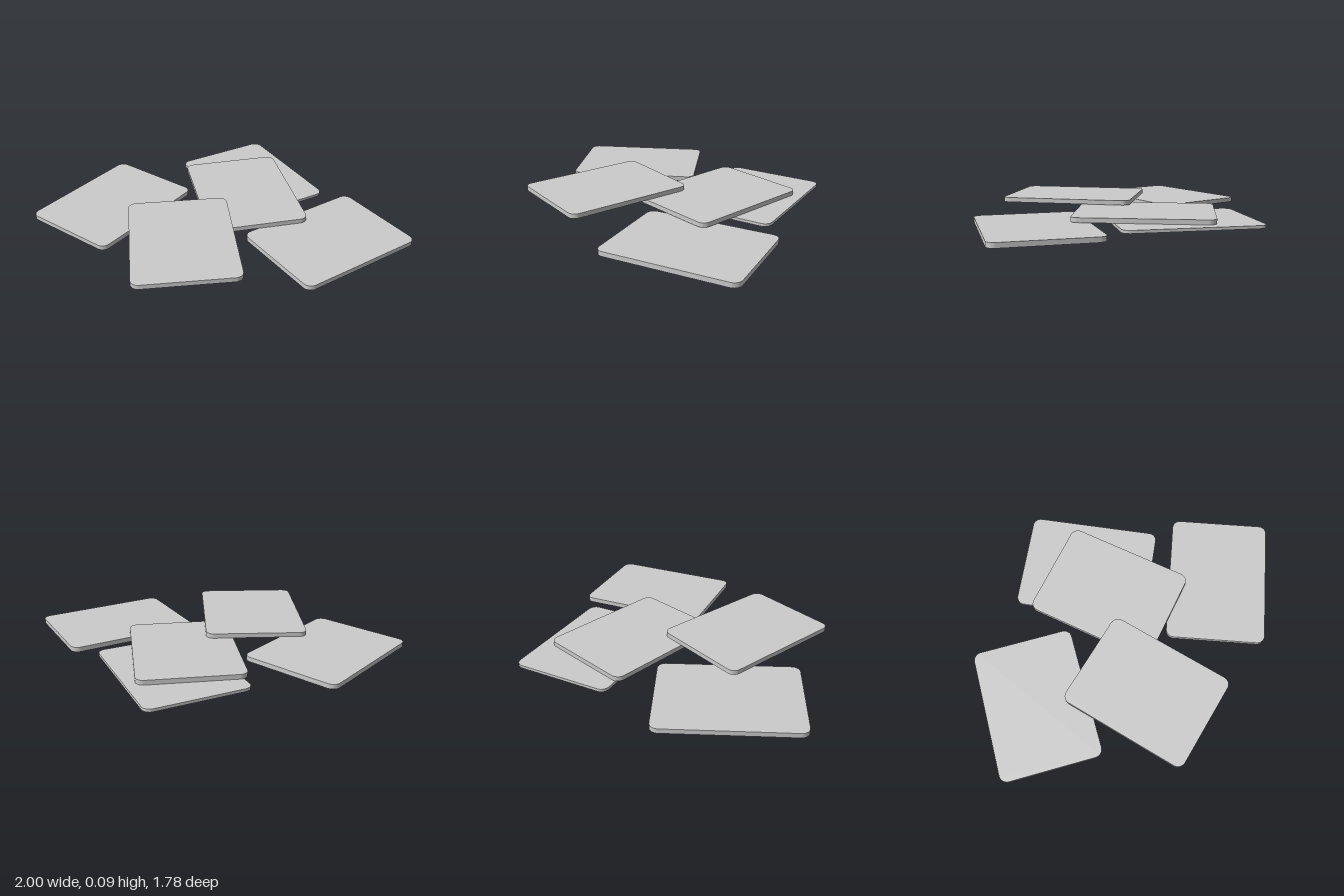
import * as THREE from 'three';
import { toCreasedNormals } from 'three/addons/utils/BufferGeometryUtils.js';

// Rounded rectangle, long side along x
function cardShape(length, width, r) {
  const a = length / 2 - r, b = width / 2 - r;
  const s = new THREE.Shape();
  s.absarc(a, b, r, 0, Math.PI / 2);
  s.absarc(-a, b, r, Math.PI / 2, Math.PI);
  s.absarc(-a, -b, r, Math.PI, Math.PI * 1.5);
  s.absarc(a, -b, r, Math.PI * 1.5, Math.PI * 2);
  s.closePath();
  return s;
}

// Flat card lying on the xz plane, its underside at y = 0
function cardGeometry(thickness) {
  const g = new THREE.ExtrudeGeometry(cardShape(0.838, 0.631, 0.05), {
    depth: thickness, bevelEnabled: false, curveSegments: 8,
  });
  g.rotateX(-Math.PI / 2);
  return toCreasedNormals(g, Math.PI / 6);
}

export function createModel() {
  const model = new THREE.Group();
  model.name = 'scatteredCards';
  const material = new THREE.MeshStandardMaterial({ color: 0xcccccc });

  // name, x, underside y, z, turn of the long side (degrees from +x towards +z), thickness
  const cards = [
    ['leftCard', 0.615, 0, -0.3, 101.5, 0.03],
    ['rightCard', -0.632, 0.015, 0.392, 81.3, 0.029],
    ['backCard', -0.225, 0.015, -0.491, 15.5, 0.018],
    ['middleCard', -0.1, 0.034, -0.29, 32.5, 0.029],
    ['frontCard', 0.052, 0.066, 0.403, 38, 0.029],
  ];
  for (const [name, x, y, z, turn, thickness] of cards) {
    const card = new THREE.Mesh(cardGeometry(thickness), material);
    card.name = name;
    card.position.set(x, y, z);
    card.rotation.y = -THREE.MathUtils.degToRad(turn);
    model.add(card);
  }
  return model;
}
